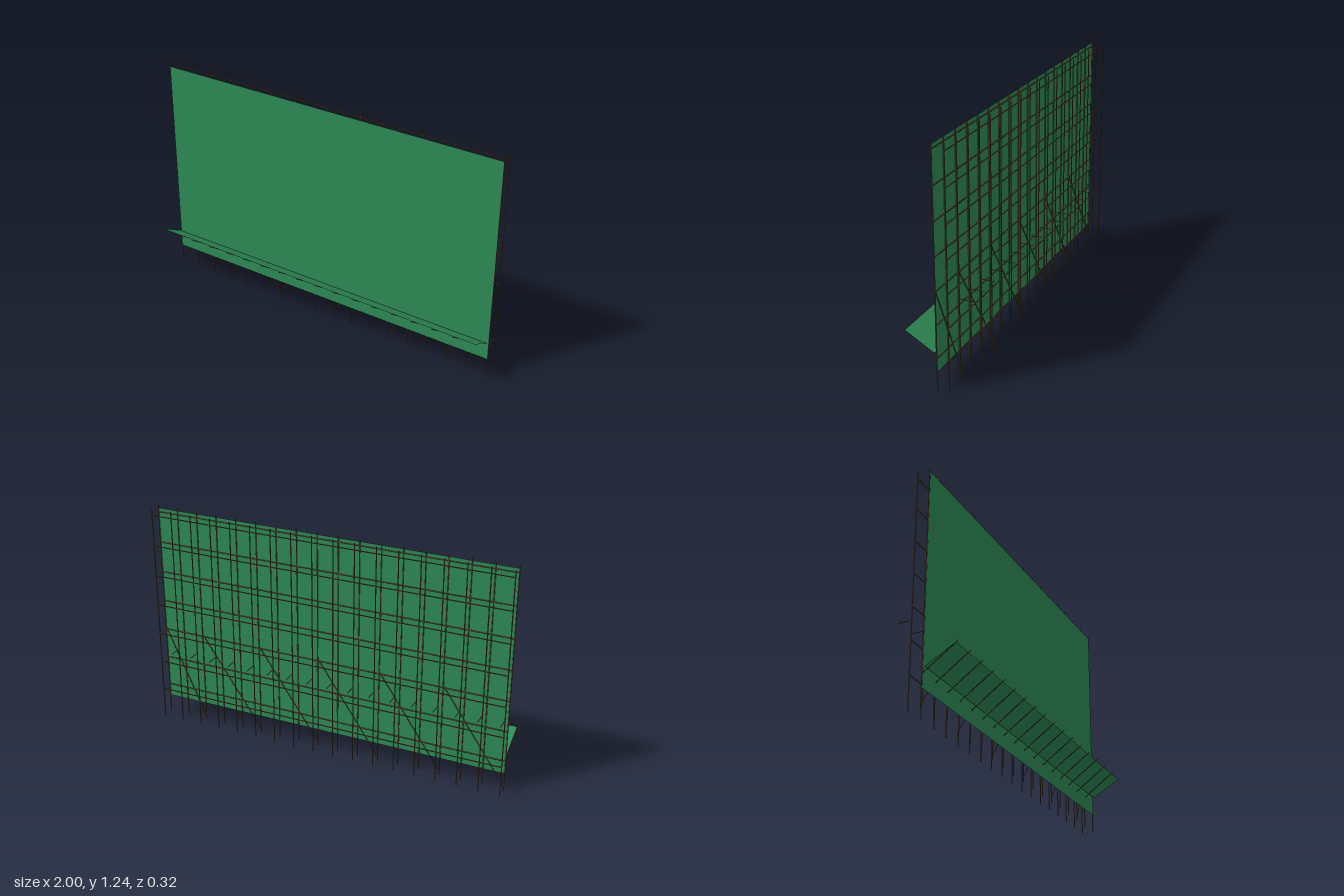
import * as THREE from 'three';

const X0 = -0.997, BAY = 0.117, POSTS = 18, X1 = X0 + BAY * (POSTS - 1);
const FRONT_Z = -0.022, BACK_Z = -0.086, HEIGHT = 1.24, LIFT = 0.172;
const poleMat = new THREE.MeshStandardMaterial({ color: 0x6b543a });
const netMat = new THREE.MeshStandardMaterial({ color: 0x2e8b57, side: THREE.DoubleSide });
const postX = (i) => X0 + i * BAY;

// round tube between two points
function pole(parent, name, a, b, r = 0.003) {
  const from = new THREE.Vector3(...a), to = new THREE.Vector3(...b);
  const dir = to.clone().sub(from);
  const mesh = new THREE.Mesh(new THREE.CylinderGeometry(r, r, dir.length(), 8), poleMat);
  mesh.name = name;
  mesh.position.copy(from).add(to).multiplyScalar(0.5);
  mesh.quaternion.setFromUnitVectors(new THREE.Vector3(0, 1, 0), dir.normalize());
  parent.add(mesh);
}

// flat sheet spanning the scaffold between a lower and an upper edge
function sheet(parent, name, y0, z0, y1, z1) {
  const dy = y1 - y0, dz = z1 - z0;
  const mesh = new THREE.Mesh(new THREE.PlaneGeometry(X1 - X0, Math.hypot(dy, dz)), netMat);
  mesh.name = name;
  mesh.position.set((X0 + X1) / 2, (y0 + y1) / 2, (z0 + z1) / 2);
  mesh.rotation.x = Math.atan2(dz, dy);
  parent.add(mesh);
}

function addGroup(parent, name) {
  const group = new THREE.Group();
  group.name = name;
  parent.add(group);
  return group;
}

export function createModel() {
  const model = new THREE.Group();
  model.name = 'scaffold';

  // two rows of posts with rails at every lift
  for (const [name, z] of [['frontRow', FRONT_Z], ['backRow', BACK_Z]]) {
    const row = addGroup(model, name);
    for (let i = 0; i < POSTS; i++) pole(row, 'post', [postX(i), 0, z], [postX(i), HEIGHT, z]);
    for (let k = 1; k <= 7; k++) pole(row, 'rail', [X0, k * LIFT, z], [X1, k * LIFT, z]);
  }

  // diagonal braces over every three bays of the front row
  const braces = addGroup(model, 'braces');
  for (let i = 0; i < POSTS; i += 3) {
    const end = Math.min(i + 3, POSTS - 1);
    pole(braces, 'brace', [postX(i), 0.02, FRONT_Z], [postX(end), 0.53, FRONT_Z], 0.0025);
  }

  // wall ties behind and canopy struts in front
  const ties = addGroup(model, 'wallTies');
  const struts = addGroup(model, 'canopyStruts');
  for (let i = 0; i < POSTS - 1; i++) {
    const x = postX(i);
    pole(ties, 'wallTie', [x, 0.443, BACK_Z], [x, 0.443, -0.158], 0.002);
    pole(struts, 'canopyStrut', [x, 0.166, FRONT_Z], [x, 0.295, 0.157], 0.002);
  }

  // safety net and sloping canopy
  sheet(model, 'safetyNet', 0.097, -0.018, 1.225, -0.018);
  sheet(model, 'canopy', 0.2, -0.01, 0.289, 0.144);
  return model;
}
